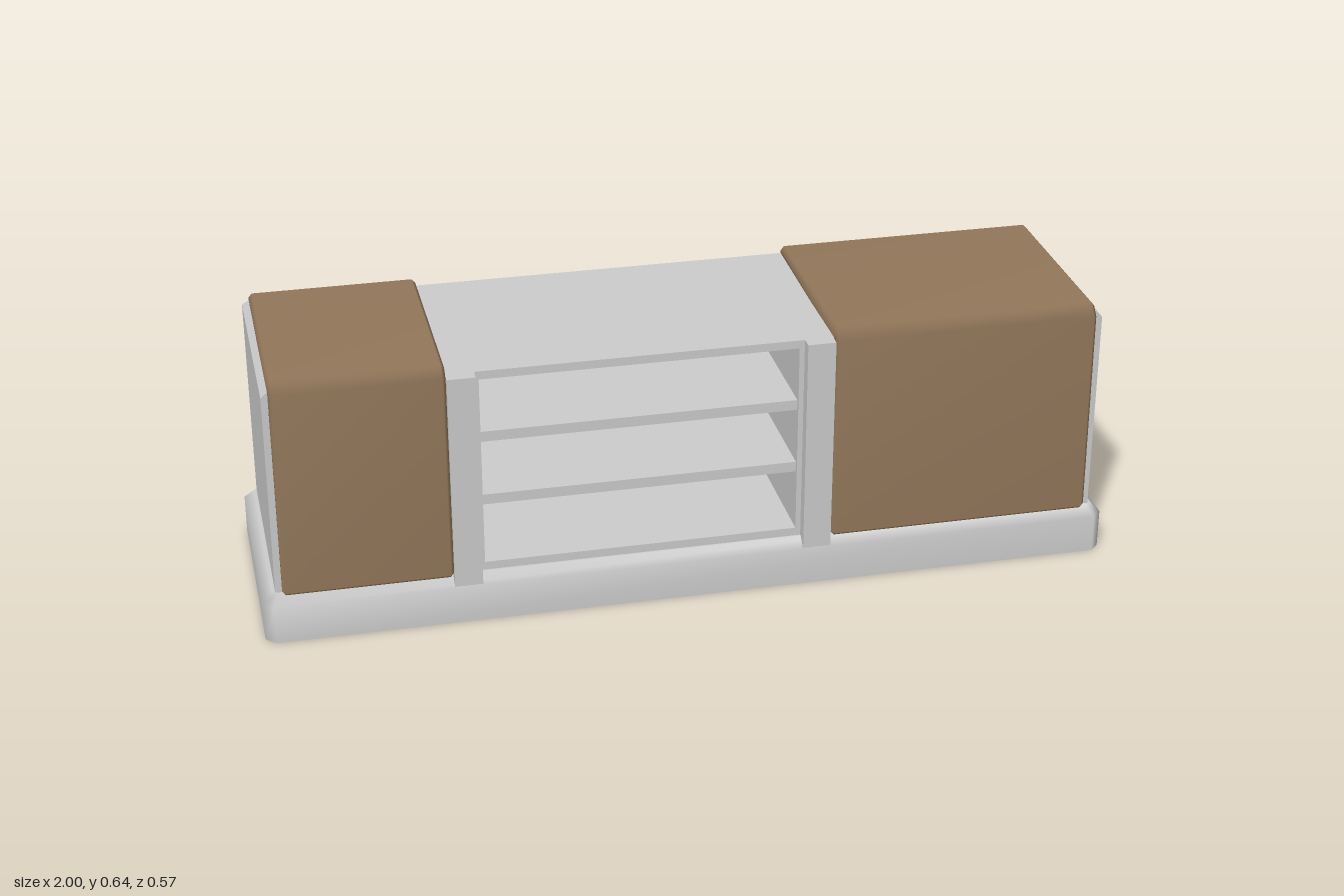
import * as THREE from 'three';
import { mergeVertices } from 'three/addons/utils/BufferGeometryUtils.js';

const paint = new THREE.MeshStandardMaterial({ color: 0xcccccc });
paint.name = 'pale grey paint';
const wood = new THREE.MeshStandardMaterial({ color: 0x92775a });
wood.name = 'brown wood';

// Octagonal outline with cut corners, counter-clockwise seen from above
function outline(hx, zb, zf, c) {
  return [
    [-hx + c, zf], [hx - c, zf], [hx, zf - c], [hx, zb + c],
    [hx - c, zb], [-hx + c, zb], [-hx, zb + c], [-hx, zf - c],
  ];
}

// Block lofted through levels { y, ring }, closed at both ends
function loft(levels, smooth) {
  const pos = [], idx = [], n = 8;
  const addRing = ({ y, ring }) => ring.forEach(([x, z]) => pos.push(x, y, z));
  levels.forEach(addRing);
  for (let l = 0; l < levels.length - 1; l++) {
    for (let i = 0; i < n; i++) {
      const a = l * n + i, b = l * n + (i + 1) % n;
      idx.push(a, b, b + n, a, b + n, a + n);
    }
  }
  const top = (levels.length - 1) * n, bottom = levels.length * n;
  addRing(levels[0]); // separate vertices keep the bottom edge sharp
  for (let i = 1; i < n - 1; i++) {
    idx.push(top, top + i, top + i + 1, bottom, bottom + i + 1, bottom + i);
  }
  let geo = new THREE.BufferGeometry();
  geo.setAttribute('position', new THREE.Float32BufferAttribute(pos, 3));
  geo.setIndex(idx);
  if (!smooth) geo = geo.toNonIndexed();
  geo.computeVertexNormals();
  return geo;
}

// L-shaped cover: bevelled front panel that folds over the top
function coverGeometry(x0, x1) {
  const bevel = 0.008;
  const profile = [
    [0.255, 0.117], [0.274, 0.117], [0.283, 0.126], [0.275, 0.618], [0.252, 0.643],
    [-0.225, 0.643], [-0.234, 0.634], [-0.234, 0.619], [0.255, 0.619],
  ];
  let geo = new THREE.ExtrudeGeometry(new THREE.Shape(profile.map(p => new THREE.Vector2(...p))), {
    depth: x1 - x0 - 2 * bevel, bevelEnabled: true, bevelSegments: 1,
    bevelSize: bevel, bevelThickness: bevel, bevelOffset: -bevel,
  });
  geo.rotateY(-Math.PI / 2);
  geo.translate(x1 - bevel, 0, 0);
  geo.deleteAttribute('normal');
  geo.deleteAttribute('uv');
  geo = mergeVertices(geo, 1e-5);
  geo.computeVertexNormals();
  return geo;
}

export function createModel() {
  const model = new THREE.Group();
  model.name = 'sideboard';

  const add = (name, geo, material, parent = model) => {
    const mesh = new THREE.Mesh(geo, material);
    mesh.name = name;
    parent.add(mesh);
    return mesh;
  };
  // Box given by its limits on each axis
  const box = (name, x0, x1, y0, y1, z0, z1, parent) => {
    const geo = new THREE.BoxGeometry(x1 - x0, y1 - y0, z1 - z0);
    geo.translate((x0 + x1) / 2, (y0 + y1) / 2, (z0 + z1) / 2);
    return add(name, geo, paint, parent);
  };

  // Plinth with chamfered upper edge and corners
  const foot = outline(1, -0.283, 0.283, 0.022);
  add('plinth', loft([
    { y: 0, ring: foot },
    { y: 0.092, ring: foot },
    { y: 0.115, ring: outline(0.977, -0.26, 0.26, 0.014) },
  ], true), paint);

  // Cabinet carcass around the open shelf bay
  const carcass = new THREE.Group();
  carcass.name = 'carcass';
  model.add(carcass);
  const L = -0.49, R = 0.245, front = 0.254, back = -0.252;
  box('leftBlock', R, 0.97, 0.113, 0.602, back, front, carcass);
  box('rightBlock', -0.97, L, 0.113, 0.602, back, front, carcass);
  box('backPanel', L, R, 0.113, 0.602, back, -0.23, carcass);
  box('bayFloor', L, R, 0.113, 0.135, -0.23, front, carcass);
  const rim = outline(0.97, back, front, 0.001);
  add('worktop', loft([
    { y: 0.6, ring: rim },
    { y: 0.606, ring: rim },
    { y: 0.62, ring: outline(0.956, -0.238, front, 0.001) },
  ], false), paint, carcass);

  // Open shelves
  for (const y of [0.28, 0.44]) box('shelf', L, R, y, y + 0.025, -0.23, 0.245);

  // Upright posts either side of the bay
  box('rightPost', -0.565, -0.5, 0.095, 0.62, 0.24, 0.283);
  box('leftPost', 0.257, 0.323, 0.095, 0.62, 0.24, 0.283);

  // Wooden covers folded over both cabinets
  add('rightCover', coverGeometry(-0.955, -0.565), wood);
  add('leftCover', coverGeometry(0.325, 0.95), wood);

  return model;
}
